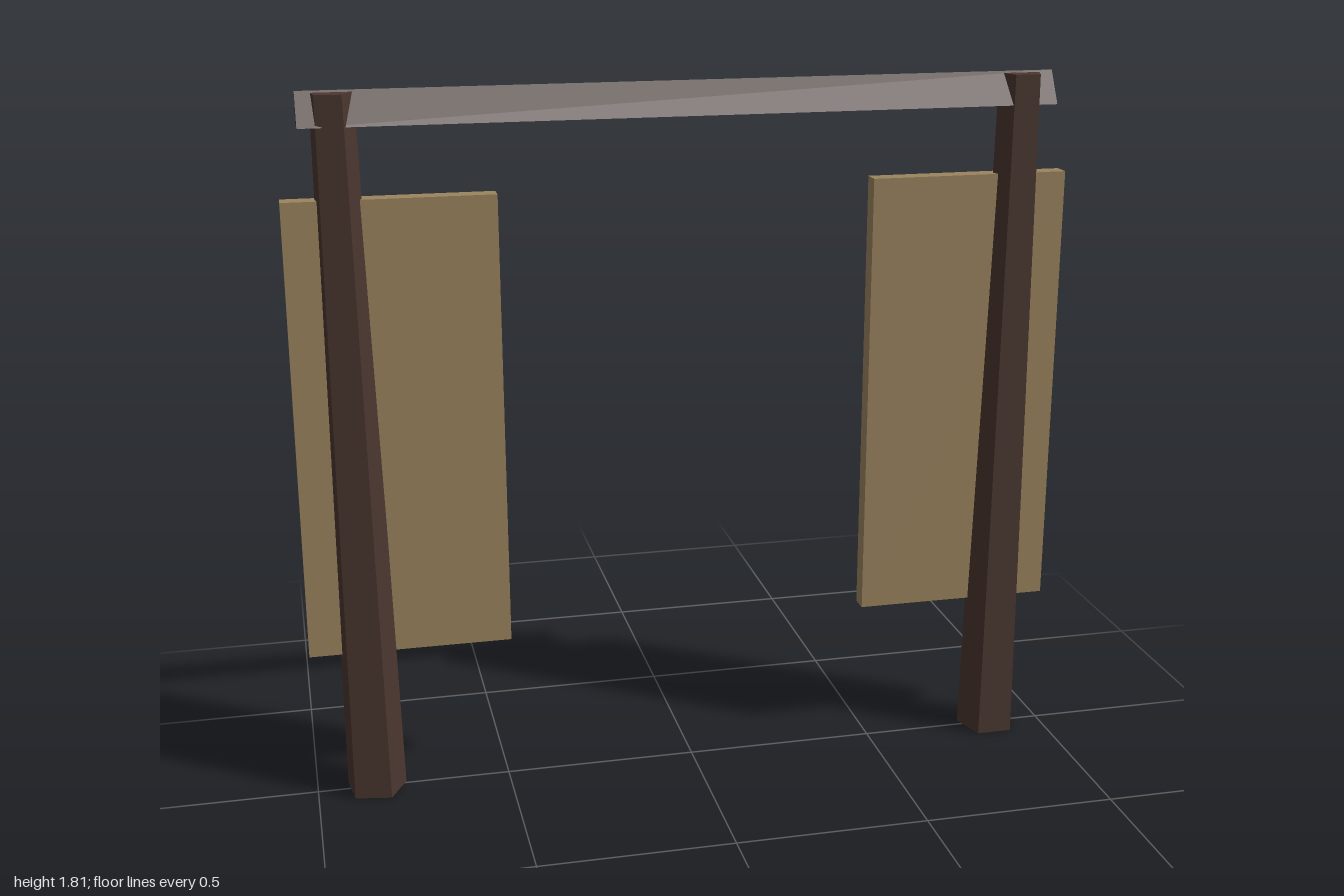
import * as THREE from 'three';

export function createModel() {
  const group = new THREE.Group();
  const darkWood = new THREE.MeshStandardMaterial({ color: 0x4a372f });
  const paleWood = new THREE.MeshStandardMaterial({ color: 0x9c855f });
  darkWood.name = 'darkWood';
  paleWood.name = 'paleWood';

  const add = (name, geometry, material) => {
    const mesh = new THREE.Mesh(geometry, material);
    mesh.name = name;
    group.add(mesh);
    return mesh;
  };

  // Tapered five-sided post: the back and outer edges stay upright
  const postHeight = 1.807;
  function postGeometry(side, twist) {
    const g = new THREE.CylinderGeometry(0.056, 0.08, postHeight, 5, 1, false, Math.PI + twist);
    const p = g.attributes.position;
    for (let i = 0; i < p.count; i++) {
      const t = p.getY(i) / postHeight + 0.5;
      p.setXYZ(i,
        p.getX(i) + side * (0.85 + 0.017 * t),
        t * postHeight,
        p.getZ(i) + 0.003 - 0.024 * t);
    }
    const flat = g.toNonIndexed();
    flat.computeVertexNormals();
    return flat;
  }
  add('leftPost', postGeometry(1, 0), darkWood);
  add('rightPost', postGeometry(-1, -Math.PI / 18), darkWood);

  // Triangular crossbeam with its ridge on top
  const section = new THREE.Shape([
    new THREE.Vector2(-0.023, 1.73),
    new THREE.Vector2(0.074, 1.73),
    new THREE.Vector2(0.0245, 1.812),
  ]);
  const beam = new THREE.ExtrudeGeometry(section, { depth: 1.9, bevelEnabled: false });
  beam.translate(0, 0, -0.95).rotateY(Math.PI / 2);
  add('crossbeam', beam, darkWood);

  // Hanging boards, one through each post
  for (const side of [1, -1]) {
    const board = add(side > 0 ? 'leftBoard' : 'rightBoard',
      new THREE.BoxGeometry(0.52, 1.175, 0.048), paleWood);
    board.position.set(side * 0.74, 0.963, -0.04);
  }
  return group;
}
